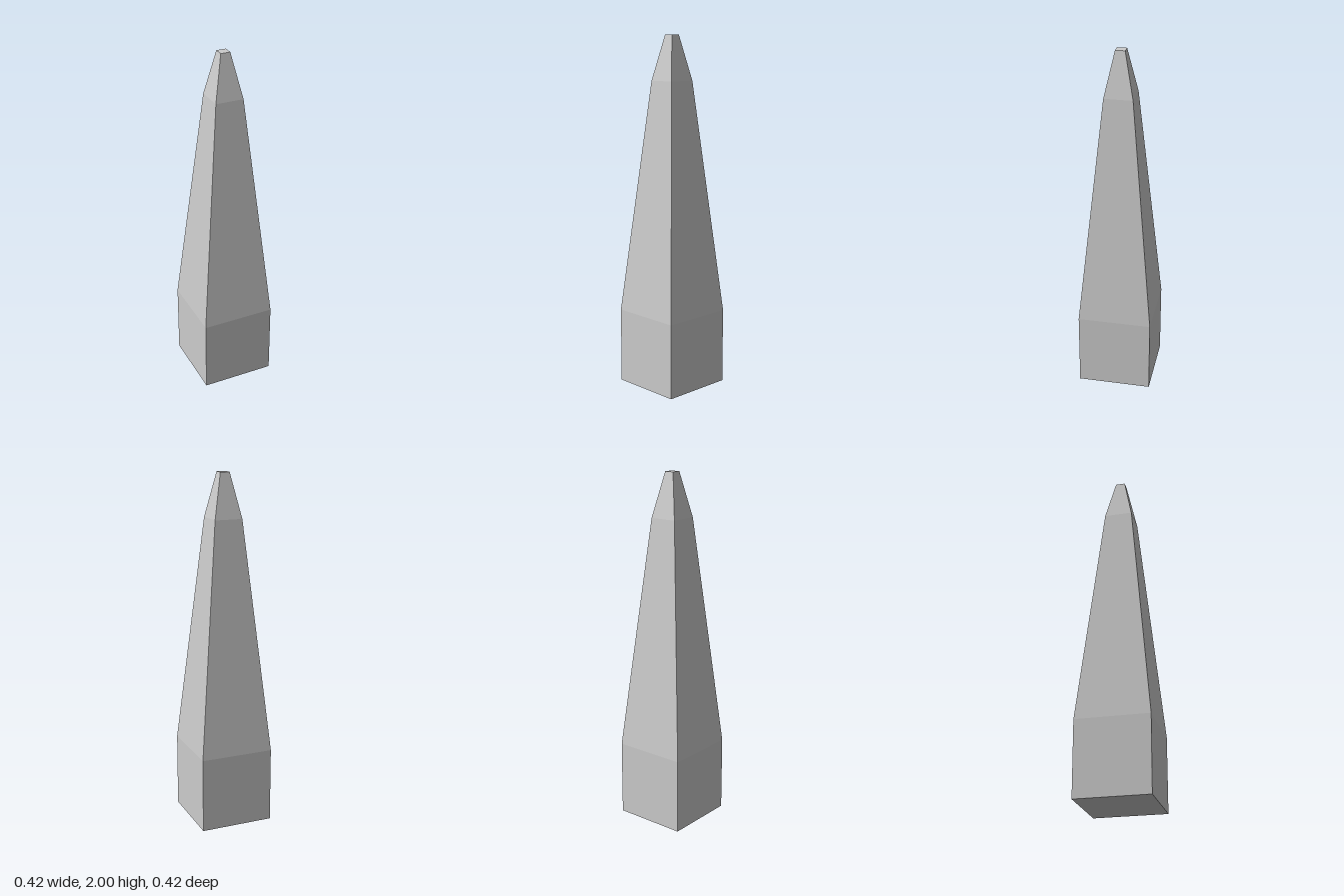
import * as THREE from 'three';

const material = new THREE.MeshStandardMaterial({ color: 0xcccccc, flatShading: true });

// Four-sided section from [half width, height] points, bottom to top
function squareSection(name, profile) {
  const points = profile.map(([half, y]) => new THREE.Vector2(half * Math.SQRT2, y));
  const geometry = new THREE.LatheGeometry(points, 4, Math.PI / 4).toNonIndexed();
  geometry.computeVertexNormals();
  const mesh = new THREE.Mesh(geometry, material);
  mesh.name = name;
  return mesh;
}

export function createModel() {
  const group = new THREE.Group();
  group.name = 'obelisk';
  group.add(
    // Straight block, closed underneath
    squareSection('base', [[0, 0], [0.21, 0], [0.21, 0.43]]),
    // Long taper
    squareSection('shaft', [[0.21, 0.43], [0.08, 1.75]]),
    // Steeper cap with a small flat top
    squareSection('tip', [[0.08, 1.75], [0.027, 2], [0, 2]])
  );
  return group;
}
